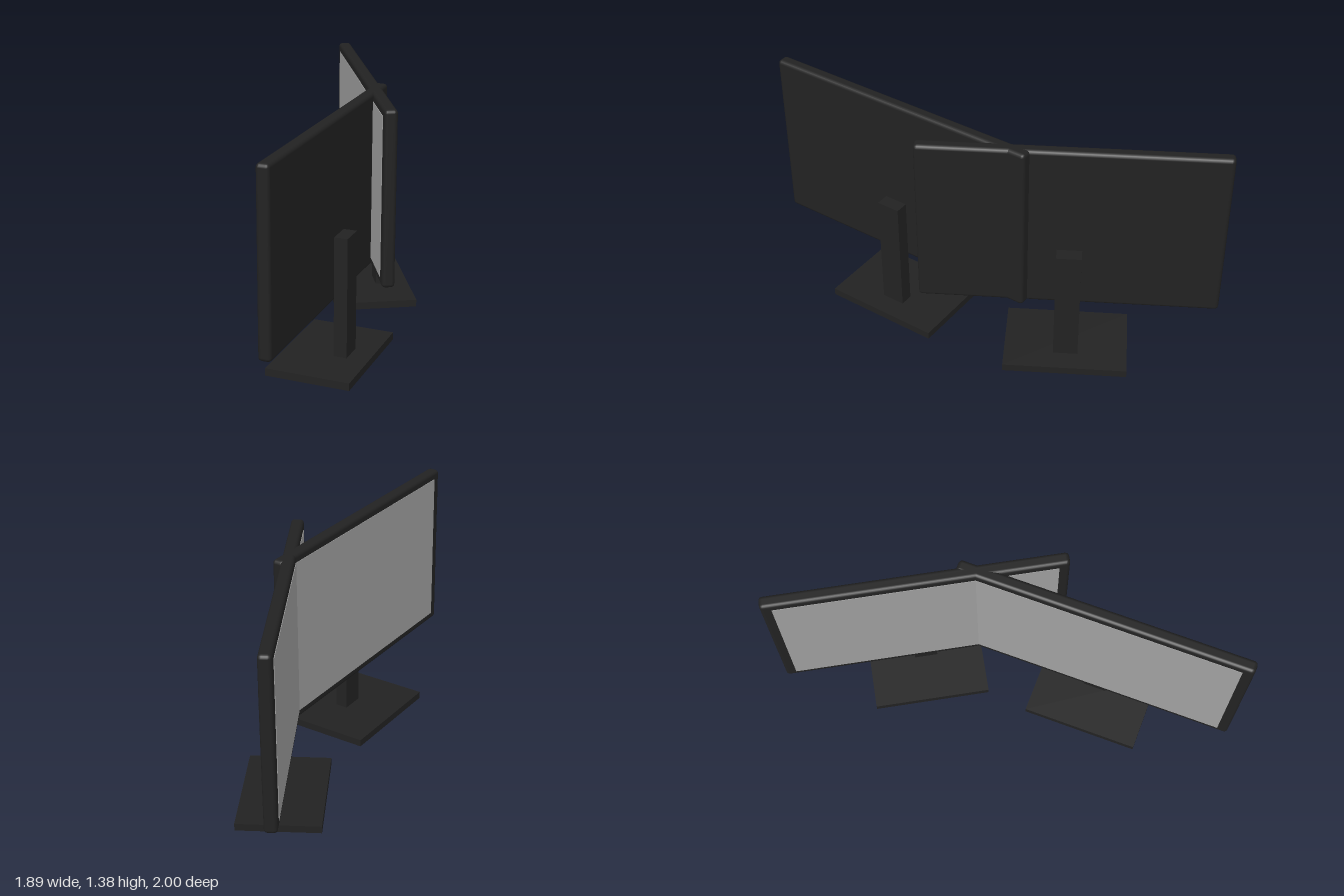
import * as THREE from 'three';
import { RoundedBoxGeometry } from 'three/addons/geometries/RoundedBoxGeometry.js';

const plastic = new THREE.MeshStandardMaterial({ color: 0x222222 });
plastic.name = 'dark plastic';
const glass = new THREE.MeshStandardMaterial({ color: 0xa0a0a0 });
glass.name = 'grey screen';

const WIDTH = 1.715, HEIGHT = 1.045, DEPTH = 0.075, CENTRE_Y = 0.8625;

function add(group, name, geometry, material, x, y, z) {
  const mesh = new THREE.Mesh(geometry, material);
  mesh.name = name;
  mesh.position.set(x, y, z);
  group.add(mesh);
}

// One monitor; its screen faces local -z and its stand post is on local +z
function createMonitor(name) {
  const monitor = new THREE.Group();
  monitor.name = name;
  add(monitor, 'housing', new RoundedBoxGeometry(WIDTH, HEIGHT, DEPTH, 2, 0.022), plastic, 0, CENTRE_Y, 0);
  add(monitor, 'screen', new THREE.BoxGeometry(1.59, 0.95, 0.006), glass, 0, CENTRE_Y, -DEPTH / 2);
  add(monitor, 'standPost', new THREE.BoxGeometry(0.142, 0.71, 0.078), plastic, 0, 0.395, 0.107);
  add(monitor, 'standBase', new THREE.BoxGeometry(0.713, 0.044, 0.492), plastic, 0, 0.022, 0.024);
  return monitor;
}

export function createModel() {
  const model = new THREE.Group();
  model.name = 'dualMonitors';

  // Two overlapping monitors, angled toward each other
  const placements = [
    ['rightMonitor', -0.228, 0.502, 34.1],
    ['leftMonitor', 0.539, -0.22, 63.8],
  ];
  for (const [name, x, z, degrees] of placements) {
    const monitor = createMonitor(name);
    monitor.position.set(x, 0, z);
    monitor.rotation.y = THREE.MathUtils.degToRad(degrees);
    model.add(monitor);
  }
  return model;
}
